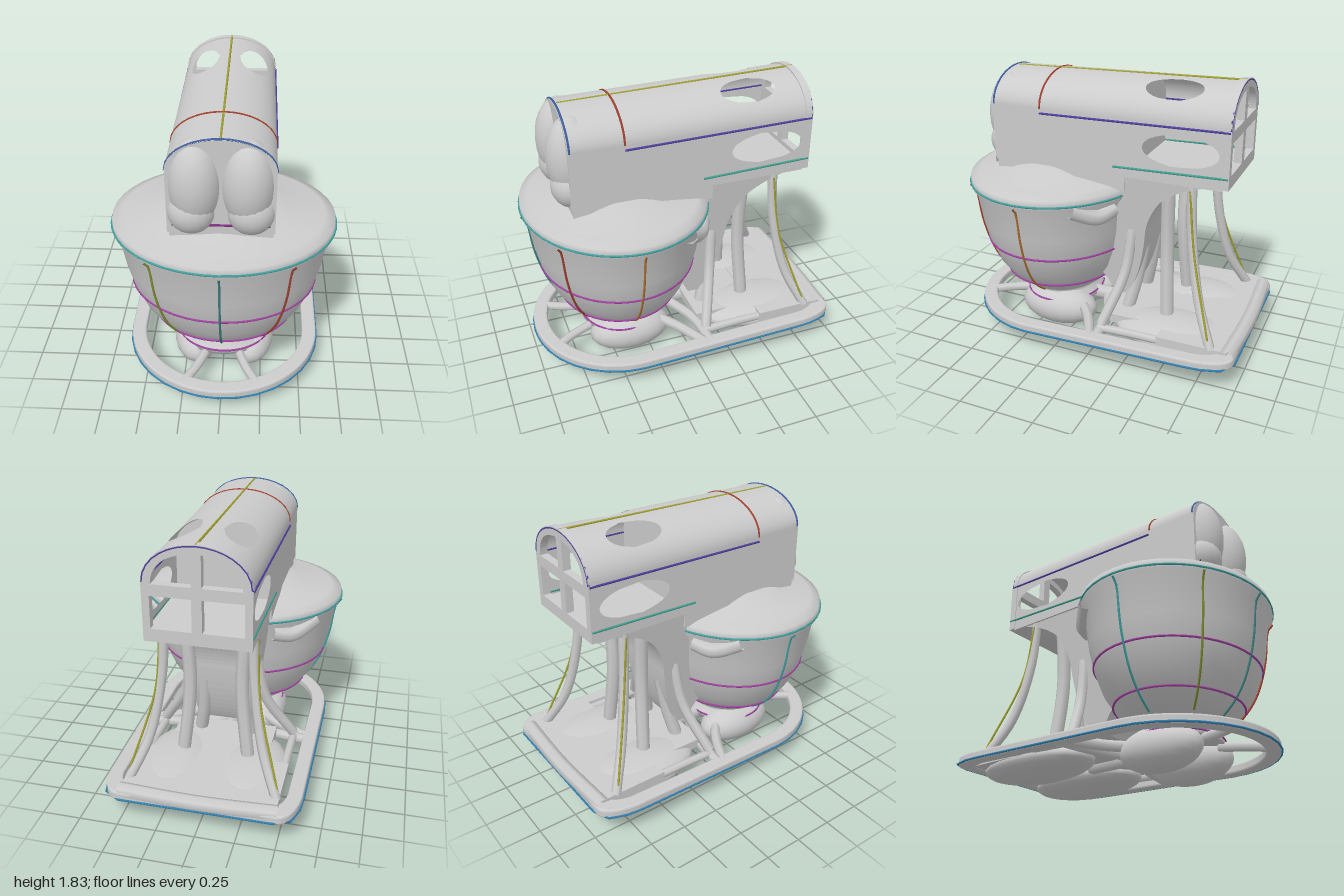
import * as THREE from 'three';
import { ParametricGeometry } from 'three/addons/geometries/ParametricGeometry.js';

const V = (x, y, z) => new THREE.Vector3(x, y, z);

export function createModel() {
  const root = new THREE.Group();
  const grey = new THREE.MeshStandardMaterial({ color: 0xcccccc, side: THREE.DoubleSide });
  const add = (name, geometry, x = 0, y = 0, z = 0, material = grey) => {
    const mesh = new THREE.Mesh(geometry, material);
    mesh.name = name;
    mesh.position.set(x, y, z);
    root.add(mesh);
    return mesh;
  };
  const tube = (name, pts, r, material = grey, closed = false) =>
    add(name, new THREE.TubeGeometry(new THREE.CatmullRomCurve3(pts, closed), closed ? 48 : 16, r, 7, closed), 0, 0, 0, material);
  const wire = (name, pts, color, closed = false) =>
    tube(name, pts, 0.007, new THREE.MeshStandardMaterial({ color }), closed);
  const ball = (name, x, y, z, rx, ry, rz) =>
    add(name, new THREE.SphereGeometry(1, 20, 14), x, y, z).scale.set(rx, ry, rz);

  // Bowl: oval lathe with a pinched foot and a closed, gently domed top
  const cz = 0.4, oval = 0.87;
  const profile = [[0, 0.2], [0.3, 0.2], [0.3, 0.235], [0.25, 0.26], [0.26, 0.3], [0.33, 0.33], [0.43, 0.41],
    [0.52, 0.53], [0.58, 0.67], [0.62, 0.82], [0.655, 1.03], [0.69, 1.07], [0.685, 1.13], [0.62, 1.15],
    [0.4, 1.18], [0.3, 1.23], [0, 1.25]].map(([r, y]) => new THREE.Vector2(r, y));
  add('bowl', new THREE.LatheGeometry(profile, 40), 0, 0, cz).scale.z = oval;

  // Coloured guide rings and ribs on the bowl
  const onBowl = (r, y, a) => V(r * Math.sin(a), y, cz + r * oval * Math.cos(a));
  for (const [r, y, color] of [[0.69, 1.09, 0x40a0a0], [0.585, 0.68, 0xa040a0], [0.45, 0.43, 0xa040a0], [0.3, 0.23, 0xa040a0]]) {
    const ring = [];
    for (let i = 0; i < 24; i++) ring.push(onBowl(r, y, (i / 24) * Math.PI * 2));
    wire('bowlRing', ring, color, true);
  }
  [[0, 0x408080], [0.68, 0xa04030], [-0.68, 0x809030], [1.57, 0xb07030], [-1.57, 0x40a0a0]].forEach(([a, color]) =>
    wire('bowlRib', profile.slice(5, 12).map((p) => onBowl(p.x + 0.005, p.y, a)), color));

  // Head: arched shell along z, with oval openings in both sides and the roof near the back
  const zBack = -0.83, zFront = 0.74, zMid = -0.48;
  const holes = [
    { t: 0.222, h: 0.11, z: -0.53, r: 0.24 },
    { t: 0.775, h: 0.135, z: -0.44, r: 0.18 },
  ];
  const gap = (t, dir) => {
    for (const o of holes) {
      const k = (t - o.t) / o.h;
      if (Math.abs(k) < 1) return o.z + dir * o.r * Math.sqrt(1 - k * k);
    }
    return zMid;
  };
  const archPoint = (t, z, s, target) => {
    if (t < 0.4) return target.set(s * 0.31, 1.24 + 0.9 * t, z);
    const a = ((t - 0.4) / 0.6) * Math.PI / 2;
    return target.set(s * 0.31 * Math.cos(a), 1.6 + (0.208 - 0.022 * z) * Math.sin(a), z);
  };
  for (const s of [1, -1]) for (const dir of [1, -1]) {
    const end = dir > 0 ? zFront : zBack;
    add('headShell', new ParametricGeometry((u, v, target) =>
      archPoint(u, THREE.MathUtils.lerp(gap(u, dir), end, v), s, target), 72, 8));
  }
  const arch = (w, bottom, rise) => {
    const shape = new THREE.Shape();
    shape.moveTo(-w, bottom);
    shape.lineTo(w, bottom);
    shape.lineTo(w, 1.6);
    shape.absellipse(0, 1.6, w, rise, 0, Math.PI, false);
    shape.lineTo(-w, bottom);
    return shape;
  };
  add('headFrontCap', new THREE.ShapeGeometry(arch(0.31, 1.2, 0.19), 16), 0, 0, zFront);
  add('headBulkhead', new THREE.ShapeGeometry(arch(0.3, 1.24, 0.2), 16), 0, 0, -0.22);
  add('headFloor', new THREE.BoxGeometry(0.62, 0.06, 1.53), 0, 1.26, -0.03);
  add('headChin', new THREE.BoxGeometry(0.6, 0.12, 0.9), 0, 1.19, 0.28);
  for (const s of [1, -1]) {
    ball('frontBulge', s * 0.15, 1.5, 0.68, 0.155, 0.27, 0.16);
    ball('frontCheek', s * 0.17, 1.33, 0.7, 0.14, 0.14, 0.13);
  }

  // Back frame: arch with four panes
  const frame = arch(0.315, 1.24, 0.235);
  for (const s of [1, -1]) {
    const low = new THREE.Path();
    low.moveTo(s * 0.03, 1.32);
    low.lineTo(s * 0.27, 1.32);
    low.lineTo(s * 0.27, 1.52);
    low.lineTo(s * 0.03, 1.52);
    low.closePath();
    const high = new THREE.Path();
    high.moveTo(s * 0.03, 1.59);
    high.lineTo(s * 0.26, 1.59);
    high.quadraticCurveTo(s * 0.25, 1.76, s * 0.03, 1.78);
    high.closePath();
    frame.holes.push(low, high);
  }
  add('backFrame', new THREE.ExtrudeGeometry(frame, { depth: 0.05, bevelEnabled: false, curveSegments: 16 }), 0, 0, zBack - 0.005);

  // Coloured guide lines on the head
  wire('headRidgeLine', [V(0, 1.79, 0.72), V(0, 1.83, -0.83)], 0xa0a030);
  const band = (z) => Array.from({ length: 17 }, (_, i) => {
    const t = 0.4 + 0.6 * (1 - Math.abs(i / 8 - 1));
    return archPoint(t, z, i < 8 ? 1 : -1, V(0, 0, 0));
  });
  wire('headBand', band(0.4), 0xa04030);
  wire('headFrontBand', band(0.73), 0x4060a0);
  wire('headBackBand', band(-0.83), 0x5040a0);
  wire('headFrontSill', [V(-0.28, 1.26, 0.75), V(0.28, 1.26, 0.75)], 0x803080);
  for (const s of [1, -1]) {
    wire('headSideLine', [V(s * 0.313, 1.57, 0.4), V(s * 0.313, 1.59, -0.83)], 0x5040a0);
    wire('headLowerLine', [V(s * 0.313, 1.29, -0.1), V(s * 0.313, 1.31, -0.83)], 0x40a090);
  }

  // Neck: side outline swept across the width, narrowing towards the base
  const side = new THREE.Shape();
  side.moveTo(0.25, 1.25);
  side.lineTo(-0.78, 1.25);
  side.quadraticCurveTo(-0.52, 1.2, -0.4, 1.08);
  side.quadraticCurveTo(-0.3, 0.95, -0.29, 0.8);
  side.quadraticCurveTo(-0.25, 0.5, -0.15, 0.34);
  side.lineTo(-0.06, 0.34);
  side.quadraticCurveTo(0, 0.5, 0.15, 0.55);
  side.closePath();
  const neck = new THREE.ExtrudeGeometry(side, { depth: 0.6, bevelEnabled: false, curveSegments: 10 });
  neck.translate(0, 0, -0.3).rotateY(-Math.PI / 2);
  const p = neck.attributes.position;
  for (let i = 0; i < p.count; i++) p.setX(i, p.getX(i) * THREE.MathUtils.mapLinear(p.getY(i), 0.34, 1.25, 0.6, 1));
  neck.computeVertexNormals();
  add('neck', neck);

  // Splayed struts between the head, the neck and the base
  for (const s of [1, -1]) {
    tube('middleStrut', [V(s * 0.2, 1.25, -0.43), V(s * 0.17, 0.75, -0.42), V(s * 0.22, 0.22, -0.45)], 0.045);
    tube('backStrut', [V(s * 0.27, 1.26, -0.6), V(s * 0.29, 0.9, -0.62), V(s * 0.36, 0.5, -0.7), V(s * 0.47, 0.24, -0.82)], 0.032);
    wire('backStrutLine', [V(s * 0.3, 1.2, -0.6), V(s * 0.33, 0.8, -0.65), V(s * 0.47, 0.3, -0.8)], 0xa0a030);
    tube('frontStrut', [V(s * 0.22, 0.85, -0.2), V(s * 0.28, 0.55, -0.17), V(s * 0.46, 0.24, -0.08)], 0.035);
    tube('neckStrut', [V(s * 0.12, 0.7, -0.24), V(s * 0.14, 0.45, -0.2), V(s * 0.18, 0.22, -0.15)], 0.045);
    tube('neckBrace', [V(s * 0.3, 1.0, -0.1), V(s * 0.42, 0.98, -0.04), V(s * 0.55, 1.05, 0.08)], 0.05);
  }

  // Base: open outer rail, rounded at the front, rising slightly towards the back
  const outline = (w, front, back, Kind) => {
    const path = new Kind();
    path.moveTo(-w, -0.38);
    path.absellipse(0, -0.38, w, front, Math.PI, Math.PI * 2, false);
    path.lineTo(w, 0.75);
    path.quadraticCurveTo(w - 0.02, back, w - 0.12, back);
    path.lineTo(-w + 0.12, back);
    path.quadraticCurveTo(-w + 0.02, back, -w, 0.75);
    path.closePath();
    return path;
  };
  const railShape = outline(0.61, 0.6, 0.97, THREE.Shape);
  railShape.holes.push(outline(0.54, 0.53, 0.9, THREE.Path));
  const rail = new THREE.ExtrudeGeometry(railShape, {
    depth: 0.035, bevelSize: 0.012, bevelThickness: 0.012, bevelSegments: 2, curveSegments: 24 });
  const base = add('baseRail', rail.rotateX(-Math.PI / 2), 0, 0.172, 0);
  base.rotation.x = 0.025;
  const railLine = outline(0.625, 0.615, 0.985, THREE.Path).getSpacedPoints(60).slice(0, -1)
    .map((q) => V(q.x, 0.17 + 0.025 * q.y, -q.y));
  wire('baseRailLine', railLine, 0x3080b0, true);

  // Base plates, pads and feet
  add('backPlate', new THREE.BoxGeometry(0.98, 0.07, 0.46), 0, 0.225, -0.7);
  add('middlePlate', new THREE.BoxGeometry(0.68, 0.06, 0.44), 0, 0.225, -0.28);
  tube('backRoll', [V(-0.5, 0.23, -0.93), V(0, 0.23, -0.95), V(0.5, 0.23, -0.93)], 0.05);
  tube('baseSpine', [V(0, 0.2, 0.3), V(0, 0.2, 0), V(0, 0.2, -0.3)], 0.05);
  for (const s of [1, -1]) {
    ball('frontFoot', s * 0.175, 0.15, 0.37, 0.16, 0.14, 0.28);
    ball('backPad', s * 0.25, 0.185, -0.53, 0.24, 0.095, 0.43);
    tube('baseArm', [V(s * 0.12, 0.2, 0.25), V(s * 0.33, 0.19, 0.08), V(s * 0.58, 0.19, -0.05)], 0.035);
    tube('baseCrossArm', [V(s * 0.05, 0.2, 0.05), V(s * 0.3, 0.2, -0.05), V(s * 0.58, 0.19, -0.08)], 0.035);
    tube('frontArm', [V(s * 0.1, 0.19, 0.6), V(s * 0.16, 0.18, 0.76), V(s * 0.24, 0.17, 0.9)], 0.03);
    tube('innerRail', [V(s * 0.46, 0.21, -0.06), V(s * 0.46, 0.22, -0.3), V(s * 0.46, 0.22, -0.6)], 0.028);
  }
  return root;
}
